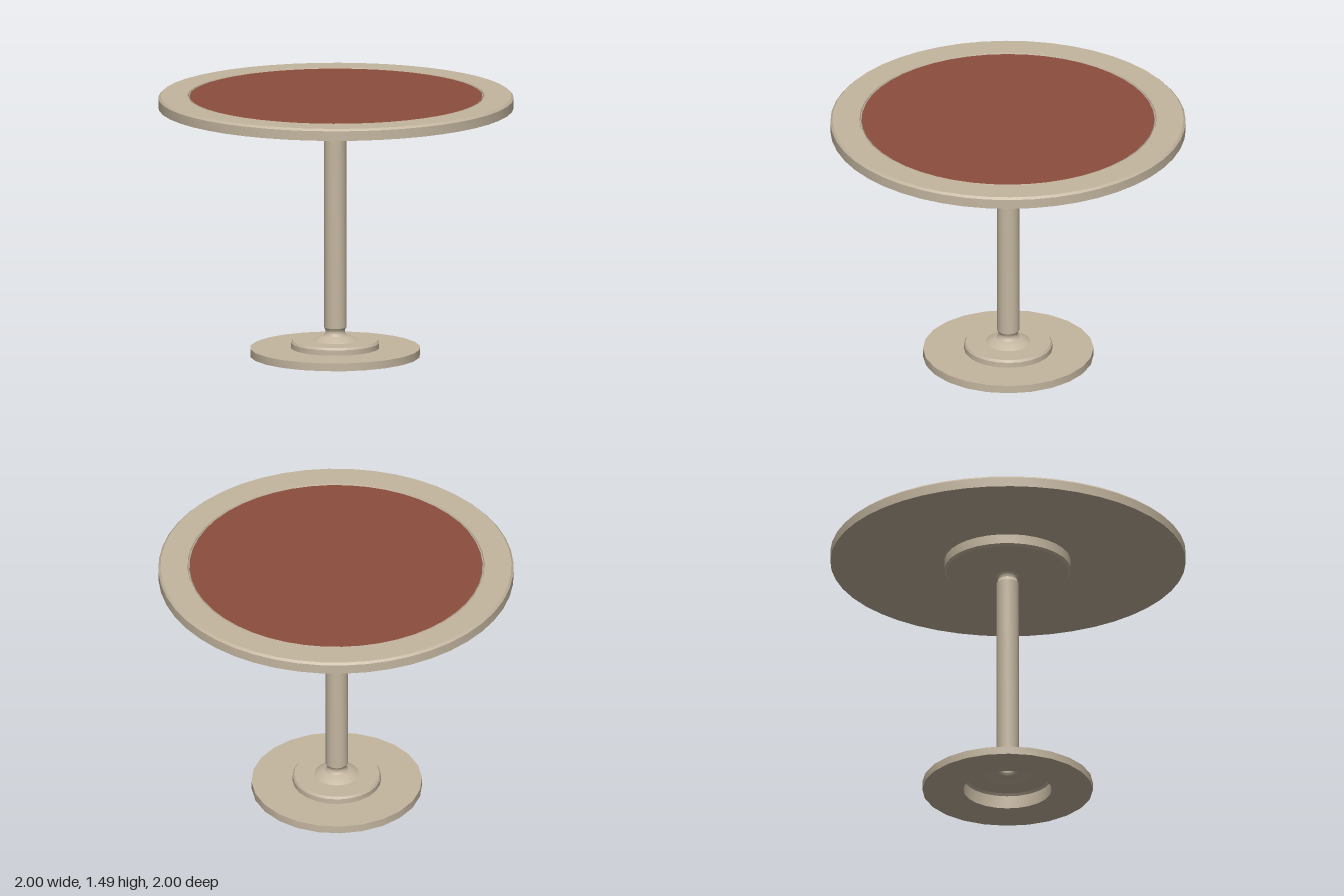
import * as THREE from 'three';
import { toCreasedNormals } from 'three/addons/utils/BufferGeometryUtils.js';

export function createModel() {
  const tan = new THREE.MeshStandardMaterial({ color: 0xc4b6a0, side: THREE.DoubleSide });
  tan.name = 'tan paint';
  const red = new THREE.MeshStandardMaterial({ color: 0x8c4d3d });
  red.name = 'red inlay';

  // Turned part from a [radius, height] profile, with sharp profile corners
  const turned = (name, profile, sides, material) => {
    const points = profile.map(([r, y]) => new THREE.Vector2(r, y));
    const geometry = toCreasedNormals(new THREE.LatheGeometry(points, sides), 0.5);
    const mesh = new THREE.Mesh(geometry, material);
    mesh.name = name;
    return mesh;
  };

  const table = new THREE.Group();
  table.name = 'roundTable';

  // Top: bevelled slab with a narrow groove around the inlay
  table.add(turned('tableTop', [
    [0, 1.42], [1, 1.42], [1, 1.475], [0.988, 1.487], [0.836, 1.487],
    [0.832, 1.476], [0.827, 1.476], [0.824, 1.485],
  ], 48, tan));
  table.add(turned('inlay', [[0.824, 1.485], [0, 1.485]], 48, red));

  // Pedestal: hollow shell, open underneath
  const pedestal = new THREE.Group();
  pedestal.name = 'pedestal';
  pedestal.position.x = -0.005;
  table.add(pedestal);

  // Floor ring
  pedestal.add(turned('basePlate', [
    [0.249, 0], [0.48, 0], [0.48, 0.045], [0.249, 0.045],
  ], 24, tan));

  // Stepped foot rising to the lower neck
  pedestal.add(turned('foot', [
    [0.249, 0], [0.249, 0.075], [0.24, 0.088], [0.125, 0.088], [0.095, 0.108],
    [0.065, 0.118], [0.056, 0.13], [0.054, 0.142], [0.057, 0.152], [0.063, 0.162],
  ], 24, tan));

  pedestal.add(turned('column', [[0.063, 0.162], [0.063, 1.28]], 24, tan));

  // Upper neck and stepped mounting plate
  pedestal.add(turned('mountingPlate', [
    [0.063, 1.28], [0.057, 1.29], [0.054, 1.3], [0.057, 1.314], [0.066, 1.325],
    [0.14, 1.325], [0.21, 1.351], [0.342, 1.351], [0.356, 1.365], [0.356, 1.42],
  ].map(([r, y]) => [r, y]), 32, tan));

  return table;
}
